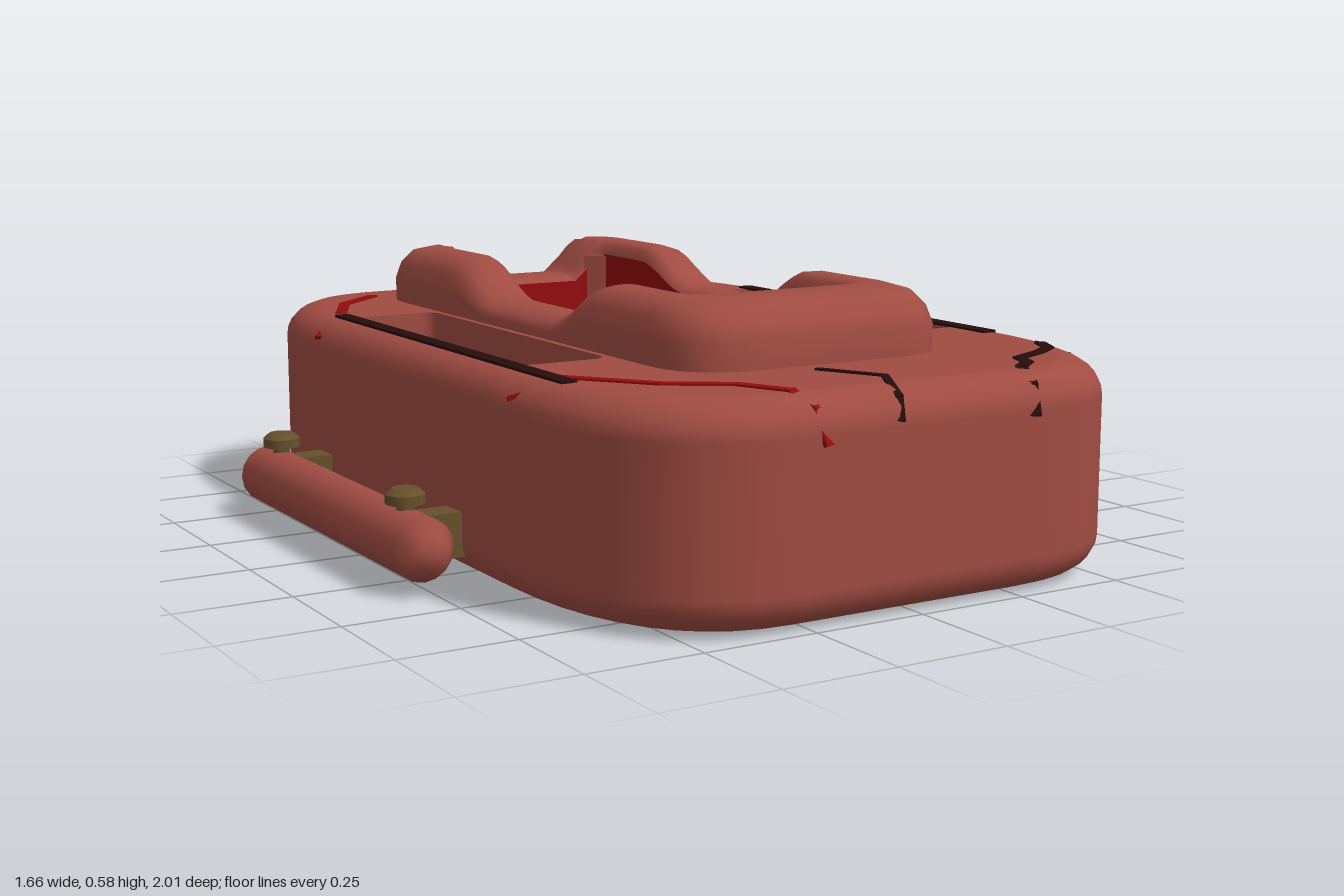
import * as THREE from 'three';

const mat = (name, color, extra = {}) => new THREE.MeshStandardMaterial({ name, color, ...extra });

// Rounded outline in x/z, walked from +x towards +z; every edge and corner is subdivided alike
function outline(cx, hx, z0, z1, rx, rz) {
  const x0 = cx - hx, x1 = cx + hx, pts = [];
  const V = (x, z) => new THREE.Vector2(x, z);
  const edge = (a, b) => { for (let i = 0; i < 28; i++) pts.push(a.clone().lerp(b, i / 28)); };
  const corner = (a, c, b) => pts.push(...new THREE.QuadraticBezierCurve(a, c, b).getPoints(10).slice(0, -1));
  edge(V(x1, z0 + rz), V(x1, z1 - rz));
  corner(V(x1, z1 - rz), V(x1, z1), V(x1 - rx, z1));
  edge(V(x1 - rx, z1), V(x0 + rx, z1));
  corner(V(x0 + rx, z1), V(x0, z1), V(x0, z1 - rz));
  edge(V(x0, z1 - rz), V(x0, z0 + rz));
  corner(V(x0, z0 + rz), V(x0, z0), V(x0 + rx, z0));
  edge(V(x0 + rx, z0), V(x1 - rx, z0));
  corner(V(x1 - rx, z0), V(x1, z0), V(x1, z0 + rz));
  return pts;
}

// Skin over closed loops of [x, y, z] points
function loft(loops) {
  const n = loops[0].length, index = [];
  for (let j = 0; j < loops.length - 1; j++) for (let i = 0; i < n; i++) {
    const a = j * n + i, b = j * n + (i + 1) % n;
    index.push(a, a + n, b, b, a + n, b + n);
  }
  const g = new THREE.BufferGeometry();
  g.setAttribute('position', new THREE.Float32BufferAttribute(loops.flat(2), 3));
  g.setIndex(index);
  g.computeVertexNormals();
  return g;
}

// Horizontal sheet with holes, facing up
function sheet(pts, y, holes = []) {
  const flip = (p) => p.map((v) => new THREE.Vector2(v.x, -v.y));
  const s = new THREE.Shape(flip(pts));
  holes.forEach((h) => s.holes.push(new THREE.Path(flip(h))));
  return new THREE.ShapeGeometry(s).rotateX(-Math.PI / 2).translate(0, y, 0);
}

// Rod along z with chamfered ends
function rod(r, length, tip, chamfer, sides) {
  const h = length / 2;
  const p = [[0, -h], [tip, -h], [r, -h + chamfer], [r, h - chamfer], [tip, h], [0, h]];
  const g = new THREE.LatheGeometry(p.map(([x, y]) => new THREE.Vector2(x, y)), sides);
  return g.rotateX(Math.PI / 2).toNonIndexed();
}

// Rim height: low on the flanks, high at both ends, chipped at the back
function rimHeight(x, z) {
  const S = THREE.MathUtils.smoothstep;
  const y = 0.5 + 0.085 * (z > -0.06 ? S(z, 0.085, 0.27) : S(-z, 0.21, 0.42));
  return z < -0.6 ? Math.min(y, 0.495 + Math.max(0, Math.abs(x) - 0.13) * 1.2) : y;
}

export function createModel() {
  const model = new THREE.Group();
  const clay = mat('clay', 0xa04c42);
  const clayOpen = mat('clay wall', 0xa04c42, { side: THREE.DoubleSide });
  const red = mat('deep red', 0x930c0e, { side: THREE.DoubleSide });
  const dark = mat('charred', 0x260d0c);
  const stoneRed = mat('stone red', 0x8e1a14, { flatShading: true });
  const stoneBrown = mat('stone brown', 0x7a241b, { flatShading: true });
  const bronze = mat('bronze', 0x66502c);
  const gold = mat('gold', 0xd9a026);
  const add = (name, geo, m, x = 0, y = 0, z = 0, parent = model) => {
    const mesh = new THREE.Mesh(geo, m);
    mesh.name = name;
    mesh.position.set(x, y, z);
    parent.add(mesh);
    return mesh;
  };

  // Body shell with rounded upper and lower edges
  const base = outline(0, 0.65, -1, 1, 0.35, 0.53);
  const inset = (d) => base.map((p) => new THREE.Vector2(p.x * (1 - d / 0.65), p.y * (1 - d)));
  const R = 0.075, loops = [];
  const ringAt = (d, y) => loops.push(inset(d).map((p) => [p.x, y, p.y]));
  for (let i = 0; i <= 6; i++) {
    const a = (i / 6) * Math.PI / 2;
    ringAt(R * (1 - Math.sin(a)), 0.003 + R * (1 - Math.cos(a)));
  }
  for (let i = 0; i <= 6; i++) {
    const a = (i / 6) * Math.PI / 2;
    ringAt(R * (1 - Math.cos(a)), 0.45 - R * (1 - Math.sin(a)));
  }
  add('bodyShell', loft(loops), clay);
  const inner = outline(0, 0.2, -0.63, 0.47, 0.05, 0.05);
  const pockets = [-1, 1].map((s) => outline(s * 0.46, 0.11, -0.47, 0.385, 0.04, 0.04));
  add('bodyTop', sheet(inset(R), 0.45, [inner, ...pockets]), clay);
  add('underside', sheet(inset(R), 0.003), red);

  // Side pockets
  pockets.forEach((p) => {
    add('pocketWall', loft([0.45, 0.12].map((y) => p.map((v) => [v.x, y, v.y]))), clayOpen);
    add('pocketFloor', sheet(p, 0.12), red);
  });
  add('rightPocketSlot', new THREE.BoxGeometry(0.035, 0.006, 1.13), dark, -0.572, 0.452, 0.06);
  add('leftPocketSlot', new THREE.BoxGeometry(0.035, 0.006, 1.0), dark, 0.568, 0.452, 0);
  add('undersideSlot', new THREE.BoxGeometry(0.03, 0.006, 1.0), dark, 0.555, 0.003, 0);

  // Raised rim around the central pit
  const outer = outline(0, 0.335, -0.84, 0.685, 0.17, 0.17);
  const profile = [[0, 0], [0, 0.45], [0.08, 0.72], [0.24, 0.92], [0.5, 1], [0.8, 1], [0.94, 0.92], [1, 0.75]];
  const rimPoint = (i, t, f) => {
    const p = outer[i].clone().lerp(inner[i], t);
    return [p.x, 0.44 + (rimHeight(p.x, p.y) - 0.44) * f, p.y];
  };
  add('rim', loft(profile.map(([t, f]) => outer.map((_, i) => rimPoint(i, t, f)))), clay);

  // Pit lining, floor and corner posts
  add('pitWall', loft([inner.map((_, i) => rimPoint(i, 1, 0.75)), inner.map((p) => [p.x, 0.1, p.y])]), red);
  add('pitFloor', sheet(inner, 0.1), red);
  for (const x of [-0.185, 0.185]) for (const z of [-0.615, 0.455]) {
    add('pitCornerPost', new THREE.BoxGeometry(0.07, 0.44, 0.012), clay, x, 0.325, z)
      .rotation.y = x * z > 0 ? Math.PI / 4 : -Math.PI / 4;
  }

  // Charred logs
  add('pitLog', rod(0.065, 0.92, 0.035, 0.05, 8), dark, -0.035, 0.165, -0.06);
  add('pocketLog', rod(0.055, 0.46, 0.035, 0.03, 8), dark, -0.457, 0.18, -0.085).rotation.y = 0.3;

  // Stones along both sides of the pit: x, z, size
  const stones = [
    [-0.12, -0.57, 0.05], [-0.01, -0.6, 0.035], [-0.13, -0.4, 0.065], [-0.12, -0.19, 0.06],
    [-0.1, -0.05, 0.065], [-0.14, 0.08, 0.06], [-0.13, 0.2, 0.055], [-0.13, 0.29, 0.055], [-0.11, 0.4, 0.045],
    [0.105, -0.49, 0.055], [0.1, -0.33, 0.062], [0.11, -0.16, 0.062], [0.105, 0.02, 0.06],
    [0.125, 0.22, 0.055], [0.12, 0.36, 0.045],
  ];
  stones.forEach(([x, z, r], i) => {
    const s = add('stone', new THREE.IcosahedronGeometry(r, 0), x > 0 && i % 2 ? stoneBrown : stoneRed, x, 0.14, z);
    s.rotation.set(i * 1.3, i * 2.1, i * 0.7);
    s.scale.set(0.85, 0.9, 1.15);
  });

  // Gold studs on the pit wall
  for (const z of [-0.3, 0.2]) {
    add('goldStud', new THREE.SphereGeometry(0.068, 16, 12), gold, -0.182, 0.33, z).scale.x = 0.5;
  }

  // Cracks: chains of thin strips through [x, y, z] points
  const crack = (name, m, w, pts) => {
    const group = new THREE.Group();
    group.name = name;
    model.add(group);
    for (let i = 0; i + 1 < pts.length; i++) {
      const a = new THREE.Vector3(...pts[i]), b = new THREE.Vector3(...pts[i + 1]);
      const mid = a.clone().add(b).multiplyScalar(0.5);
      add('crackStrip', new THREE.BoxGeometry(w, 0.008, a.distanceTo(b) + 0.01), m, mid.x, mid.y, mid.z, group).lookAt(b);
    }
  };
  const T = 0.45;
  crack('frontLeftCrack', dark, 0.024, [[0.635, 0.37, 0.71], [0.625, 0.42, 0.7], [0.55, T, 0.69], [0.52, T, 0.75],
    [0.46, T, 0.79], [0.37, T, 0.83], [0.35, T, 0.88], [0.3, T, 0.92], [0.28, 0.425, 0.975], [0.27, 0.37, 1]]);
  crack('frontCrack', dark, 0.016, [[-0.07, T, 0.74], [-0.04, T, 0.8], [-0.005, T, 0.87], [-0.04, T, 0.93],
    [-0.05, 0.43, 0.975], [-0.06, 0.39, 0.997]]);
  crack('frontRightCrack', red, 0.026, [[-0.642, 0.41, 0.51], [-0.56, T, 0.56], [-0.43, T, 0.73], [-0.31, T, 0.81],
    [-0.26, T, 0.92], [-0.24, 0.425, 0.975], [-0.23, 0.36, 1]]);
  crack('backRightCrack', red, 0.026, [[-0.31, 0.43, -0.96], [-0.36, T, -0.82], [-0.48, T, -0.71], [-0.55, T, -0.56],
    [-0.64, 0.41, -0.47]]);

  // Side rails with brackets and bolts
  for (const s of [-1, 1]) {
    const side = new THREE.Group();
    side.name = s > 0 ? 'leftRail' : 'rightRail';
    model.add(side);
    add('railBar', rod(0.067, 0.97, 0.036, 0.05, 16), clay, s * 0.765, 0.09, -0.07, side);
    for (const z of [0.267, -0.43]) {
      add('bracket', new THREE.BoxGeometry(0.15, 0.095, 0.07), bronze, s * 0.69, 0.095, z, side);
      add('boltHead', new THREE.CylinderGeometry(0.028, 0.042, 0.012, 12), bronze, s * 0.76, 0.194, z, side);
      add('boltCollar', new THREE.CylinderGeometry(0.042, 0.042, 0.02, 12), bronze, s * 0.76, 0.178, z, side);
      add('boltShank', new THREE.CylinderGeometry(0.02, 0.02, 0.05, 8), bronze, s * 0.76, 0.155, z, side);
    }
  }
  return model;
}
